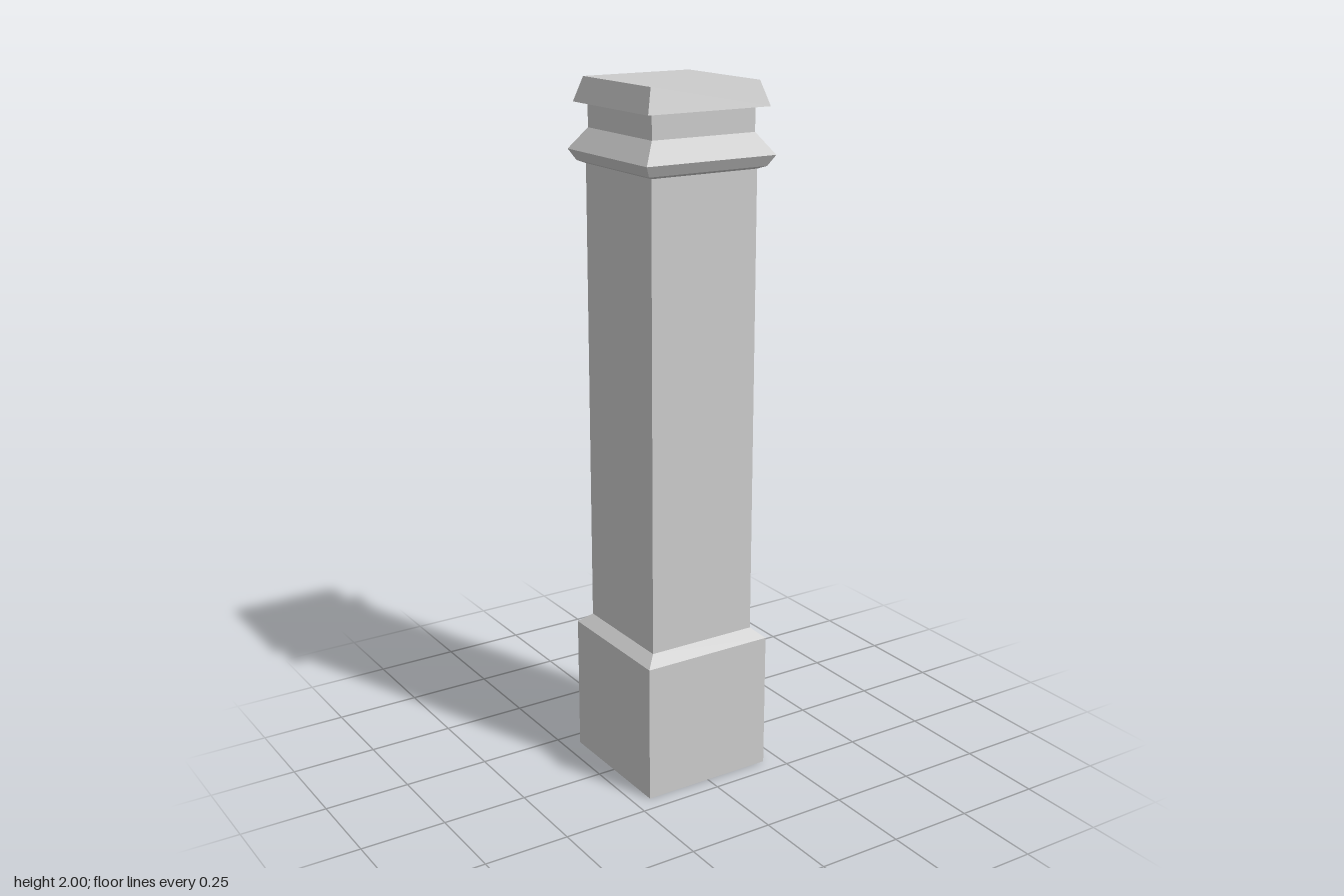
import * as THREE from 'three';

const material = new THREE.MeshStandardMaterial({ color: 0xcccccc, flatShading: true });

// Square part swept from a profile of [half width, height] pairs, bottom to top
function squarePart(name, profile) {
  const points = profile.map(([half, y]) => new THREE.Vector2(half * Math.SQRT2, y));
  const geometry = new THREE.LatheGeometry(points, 4, Math.PI / 4).toNonIndexed();
  geometry.computeVertexNormals();
  const mesh = new THREE.Mesh(geometry, material);
  mesh.name = name;
  return mesh;
}

export function createModel() {
  const group = new THREE.Group();
  group.name = 'squarePillar';

  group.add(
    // Plinth block with a chamfered top edge
    squarePart('plinth', [[0, 0], [0.2, 0], [0.2, 0.403], [0.167, 0.432]]),
    // Plain shaft
    squarePart('shaft', [[0.167, 0.432], [0.167, 1.767]]),
    // Collar moulding: two-step flare below, long slope above
    squarePart('collar', [[0.167, 1.767], [0.186, 1.775], [0.203, 1.805], [0.162, 1.864]]),
    // Recessed neck
    squarePart('neck', [[0.162, 1.864], [0.162, 1.932]]),
    // Tapered cap with an overhanging underside and flat top
    squarePart('cap', [[0.162, 1.932], [0.191, 1.932], [0.17, 2], [0, 2]])
  );
  return group;
}
